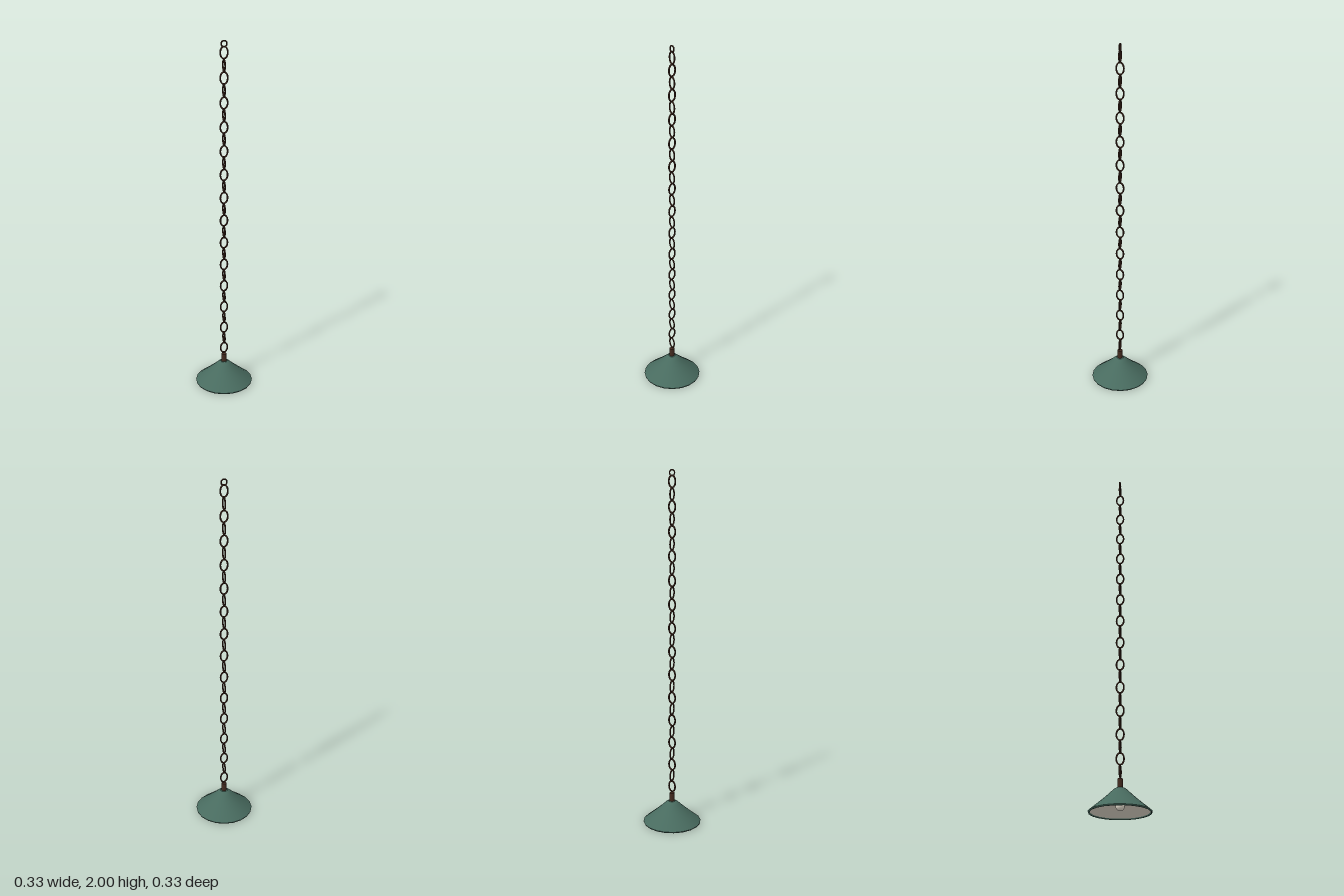
import * as THREE from 'three';

// Closed elliptical loop curve in the XY plane
class EllipseLoop extends THREE.Curve {
  constructor(rx, ry) { super(); this.rx = rx; this.ry = ry; }
  getPoint(t, target = new THREE.Vector3()) {
    const a = t * Math.PI * 2;
    return target.set(this.rx * Math.cos(a), this.ry * Math.sin(a), 0);
  }
}

export function createModel() {
  const group = new THREE.Group();
  const mat = (name, color) => {
    const m = new THREE.MeshStandardMaterial({ color });
    m.name = name;
    return m;
  };
  const iron = mat('rusty iron', 0x432a1f);
  const green = mat('green enamel', 0x486b5f);
  const cream = mat('cream enamel', 0xd8d0c2);
  const glass = mat('bulb glass', 0xf4ecdc);

  const add = (name, geometry, material, y = 0, parent = group) => {
    const mesh = new THREE.Mesh(geometry, material);
    mesh.name = name;
    mesh.position.y = y;
    parent.add(mesh);
    return mesh;
  };
  const lathe = (pts) => new THREE.LatheGeometry(pts.map(([r, y]) => new THREE.Vector2(r, y)), 20);

  // Chain: links alternate by a quarter turn
  const chain = new THREE.Group();
  chain.name = 'chain';
  group.add(chain);
  const linkGeo = new THREE.TubeGeometry(new EllipseLoop(0.0205, 0.0315), 20, 0.0047, 6, true);
  for (let i = 0; i < 27; i++) {
    const link = add('chainLink', linkGeo, iron, 0.216 + i * 0.0661, chain);
    if (i % 2) link.rotation.y = Math.PI / 2;
  }
  add('topRing', new THREE.TorusGeometry(0.016, 0.004, 6, 16), iron, 1.98);

  // Stem holding the shade
  add('stem', new THREE.CylinderGeometry(0.0145, 0.0145, 0.06, 12), iron, 0.146);

  // Shade: outer skin with a rounded shoulder and flat crown, lower lip, cream lining
  add('shadeOuter', lathe([[0.165, 0.006], [0.135, 0.031], [0.1, 0.06], [0.066, 0.09], [0.045, 0.11], [0.032, 0.122], [0.021, 0.128]]), green);
  add('shadeCrown', lathe([[0.021, 0.128], [0, 0.128]]), green);
  add('shadeLip', lathe([[0.155, 0.006], [0.157, 0], [0.163, 0], [0.165, 0.006]]), green);
  add('shadeLining', lathe([[0, 0.12], [0.022, 0.117], [0.06, 0.086], [0.098, 0.053], [0.131, 0.026], [0.155, 0.006]]), cream);

  // Socket and bulb
  add('socket', new THREE.CylinderGeometry(0.012, 0.012, 0.075, 12), cream, 0.086);
  add('bulb', new THREE.SphereGeometry(0.024, 16, 12), glass, 0.033);

  return group;
}
